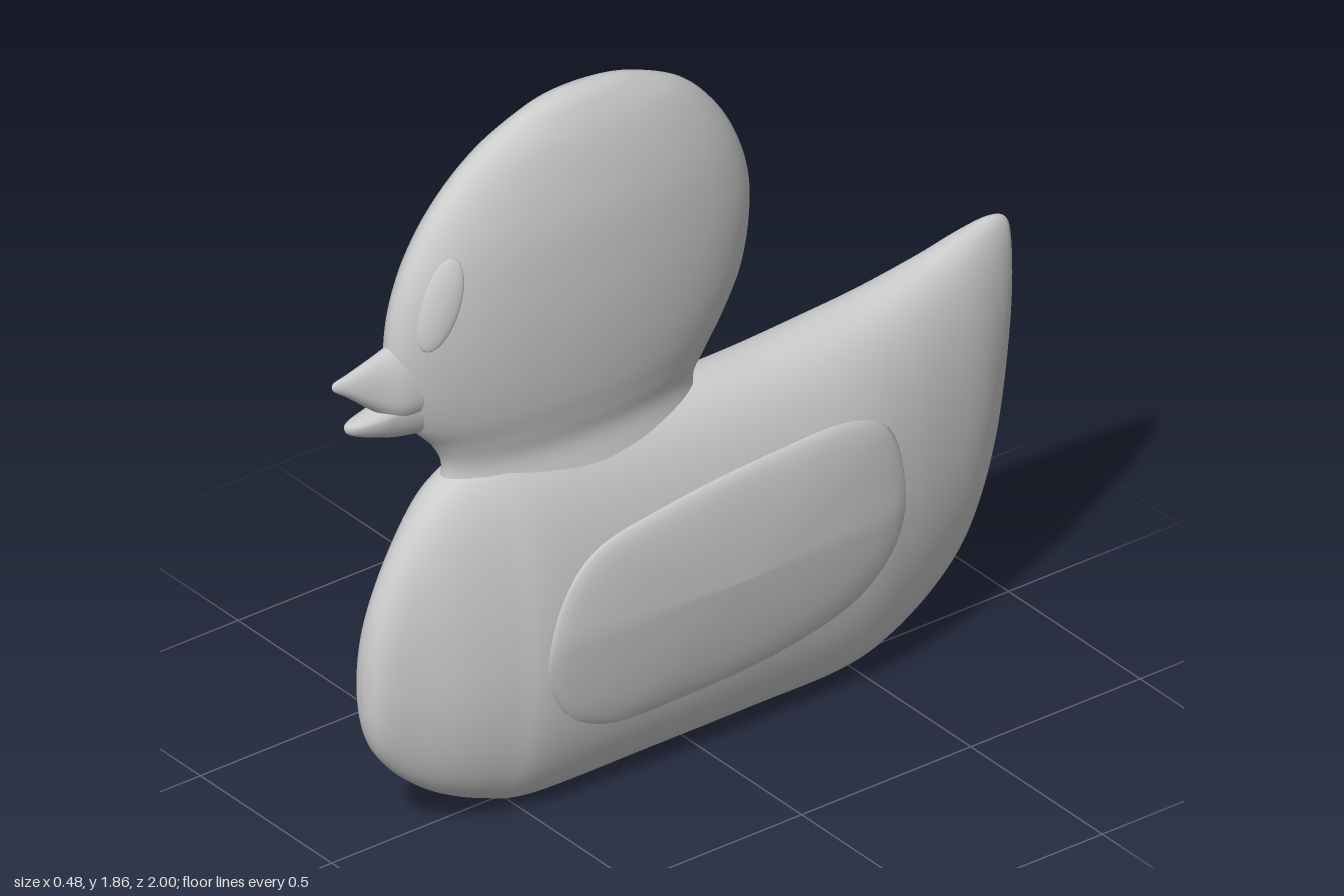
import * as THREE from 'three';

const material = new THREE.MeshStandardMaterial({ color: 0xcccccc, side: THREE.DoubleSide });

// A row is [station, low, high, half width, level of the widest point].
function profile(rows) {
  const a = new THREE.CatmullRomCurve3(rows.map(r => new THREE.Vector3(r[0], r[1], r[2])), false, 'catmullrom', 0.5);
  const b = new THREE.CatmullRomCurve3(rows.map(r => new THREE.Vector3(r[3], r[4], 0)), false, 'catmullrom', 0.5);
  return t => {
    const p = a.getPoint(t), q = b.getPoint(t);
    return { s: p.x, lo: p.y, hi: p.z, w: Math.max(q.x, 0), mid: q.y };
  };
}

function gridMesh(name, positions, rings, around, flip) {
  const index = [];
  for (let i = 0; i < rings - 1; i++) {
    for (let j = 0; j < around; j++) {
      const a = i * around + j, b = i * around + (j + 1) % around;
      const c = a + around, d = b + around;
      if (flip) index.push(a, c, b, b, c, d);
      else index.push(a, b, c, b, d, c);
    }
  }
  const geometry = new THREE.BufferGeometry();
  geometry.setAttribute('position', new THREE.Float32BufferAttribute(positions, 3));
  geometry.setIndex(index);
  geometry.computeVertexNormals();
  const mesh = new THREE.Mesh(geometry, material);
  mesh.name = name;
  return mesh;
}

// Skin a profile with oval rings stacked along the 'z' or 'y' axis.
function loft(name, section, axis, steps, around, power = 1) {
  const positions = [];
  for (let i = 0; i <= steps; i++) {
    const { s, lo, hi, w, mid } = section(i / steps);
    for (let j = 0; j < around; j++) {
      const a = j / around * Math.PI * 2, c = Math.cos(a), v = Math.sin(a);
      const x = Math.sign(c) * Math.pow(Math.abs(c), power) * w;
      const level = mid + v * (v > 0 ? hi - mid : mid - lo);
      if (axis === 'z') positions.push(x, level, s);
      else positions.push(x, s, level);
    }
  }
  return gridMesh(name, positions, steps + 1, around, axis === 'y');
}

// Domed pad facing +x, inside a closed outline of [z, y] points.
function pad(name, outline, height, edgeX, depth) {
  const curve = new THREE.CatmullRomCurve3(outline.map(([z, y]) => new THREE.Vector3(0, y, z)), true);
  const around = 72, rings = 16, positions = [];
  const rim = Array.from({ length: around }, (_, j) => curve.getPoint(j / around));
  const centre = rim.reduce((sum, p) => sum.add(p), new THREE.Vector3()).divideScalar(around);
  for (let i = 0; i <= rings; i++) {
    const a = i / rings * Math.PI;
    const r = Math.sin(a), lift = Math.cos(a) * (i < rings / 2 ? height : depth);
    for (const p of rim) {
      const q = centre.clone().lerp(p, r);
      positions.push(edgeX(q.y, q.z) + lift, q.y, q.z);
    }
  }
  return gridMesh(name, positions, rings + 1, around, false);
}

const bodyProfile = profile([
  [-1, 0.9, 0.98, 0, 0.94], [-0.995, 0.82, 1.015, 0.02, 0.9], [-0.975, 0.64, 1.035, 0.04, 0.82],
  [-0.93, 0.4, 1.04, 0.065, 0.72], [-0.85, 0.22, 1.025, 0.1, 0.6], [-0.75, 0.115, 1, 0.13, 0.53],
  [-0.6, 0.035, 0.97, 0.168, 0.48], [-0.45, 0, 0.952, 0.193, 0.46], [-0.2, 0, 0.937, 0.203, 0.45],
  [0.1, 0, 0.94, 0.205, 0.45], [0.45, 0, 0.96, 0.193, 0.45], [0.58, 0.03, 0.96, 0.165, 0.45],
  [0.7, 0.085, 0.91, 0.13, 0.44], [0.8, 0.16, 0.79, 0.09, 0.43], [0.87, 0.245, 0.655, 0.06, 0.43],
  [0.9, 0.325, 0.545, 0.035, 0.43], [0.91, 0.42, 0.44, 0, 0.43],
]);

const headProfile = profile([
  [0.86, -0.08, 0.69, 0.115, 0.3], [0.95, -0.06, 0.67, 0.097, 0.3], [1.02, -0.095, 0.7, 0.108, 0.29],
  [1.1, -0.145, 0.77, 0.123, 0.29], [1.2, -0.195, 0.82, 0.134, 0.29], [1.32, -0.22, 0.838, 0.14, 0.29],
  [1.44, -0.22, 0.82, 0.138, 0.29], [1.56, -0.185, 0.77, 0.129, 0.29], [1.67, -0.12, 0.69, 0.108, 0.29],
  [1.76, -0.03, 0.585, 0.081, 0.295], [1.82, 0.09, 0.465, 0.05, 0.3], [1.845, 0.18, 0.39, 0.028, 0.3],
  [1.858, 0.295, 0.305, 0, 0.3],
]);

// Half width of the head at a given height and depth.
function headX(y, z) {
  let low = 0, high = 1;
  for (let i = 0; i < 24; i++) {
    const t = (low + high) / 2;
    if (headProfile(t).s < y) low = t; else high = t;
  }
  const { lo, hi, w, mid } = headProfile(low);
  const v = (z - mid) / (z > mid ? hi - mid : mid - lo);
  return w * Math.sqrt(Math.max(0, 1 - v * v));
}

export function createModel() {
  const model = new THREE.Group();
  model.name = 'flatDuck';

  model.add(loft('body', bodyProfile, 'z', 128, 64, 0.87));
  model.add(loft('head', headProfile, 'y', 72, 72));

  // Open beak
  const beak = new THREE.Group();
  beak.name = 'beak';
  beak.add(loft('upperBeak', profile([
    [0.74, 1.13, 1.37, 0.06, 1.22], [0.82, 1.14, 1.345, 0.052, 1.21], [0.88, 1.185, 1.328, 0.037, 1.23],
    [0.95, 1.245, 1.31, 0.021, 1.27], [0.99, 1.275, 1.302, 0.009, 1.288], [1, 1.288, 1.292, 0, 1.29],
  ]), 'z', 30, 32));
  beak.add(loft('lowerBeak', profile([
    [0.74, 1.08, 1.22, 0.05, 1.17], [0.82, 1.095, 1.205, 0.042, 1.17], [0.88, 1.115, 1.19, 0.035, 1.165],
    [0.93, 1.135, 1.18, 0.024, 1.165], [0.955, 1.15, 1.175, 0.011, 1.165], [0.962, 1.163, 1.167, 0, 1.165],
  ]), 'z', 30, 32));
  model.add(beak);

  // Wings and eyes, mirrored for the two sides
  const wingOutline = [
    [0.51, 0.44], [0.47, 0.61], [0.38, 0.71], [0.15, 0.76], [-0.15, 0.787], [-0.38, 0.785], [-0.49, 0.73],
    [-0.54, 0.55], [-0.52, 0.39], [-0.42, 0.28], [-0.2, 0.215], [0.1, 0.195], [0.32, 0.205], [0.45, 0.28],
  ];
  const wingEdge = y => 0.168 + 0.032 * Math.min(1, Math.max(0, (y - 0.2) / 0.3));
  const eyeOutline = [];
  for (let i = 0; i < 16; i++) {
    const a = i / 16 * Math.PI * 2, y = 0.115 * Math.sin(a);
    eyeOutline.push([0.733 + 0.045 * Math.cos(a) - 0.3 * y, 1.45 + y]);
  }
  for (const side of [1, -1]) {
    const label = side > 0 ? 'left' : 'right';
    const wing = pad(label + 'Wing', wingOutline, 0.04, wingEdge, 0.045);
    const eye = pad(label + 'Eye', eyeOutline, 0.011, headX, 0.01);
    wing.scale.x = eye.scale.x = side;
    model.add(wing, eye);
  }
  return model;
}
